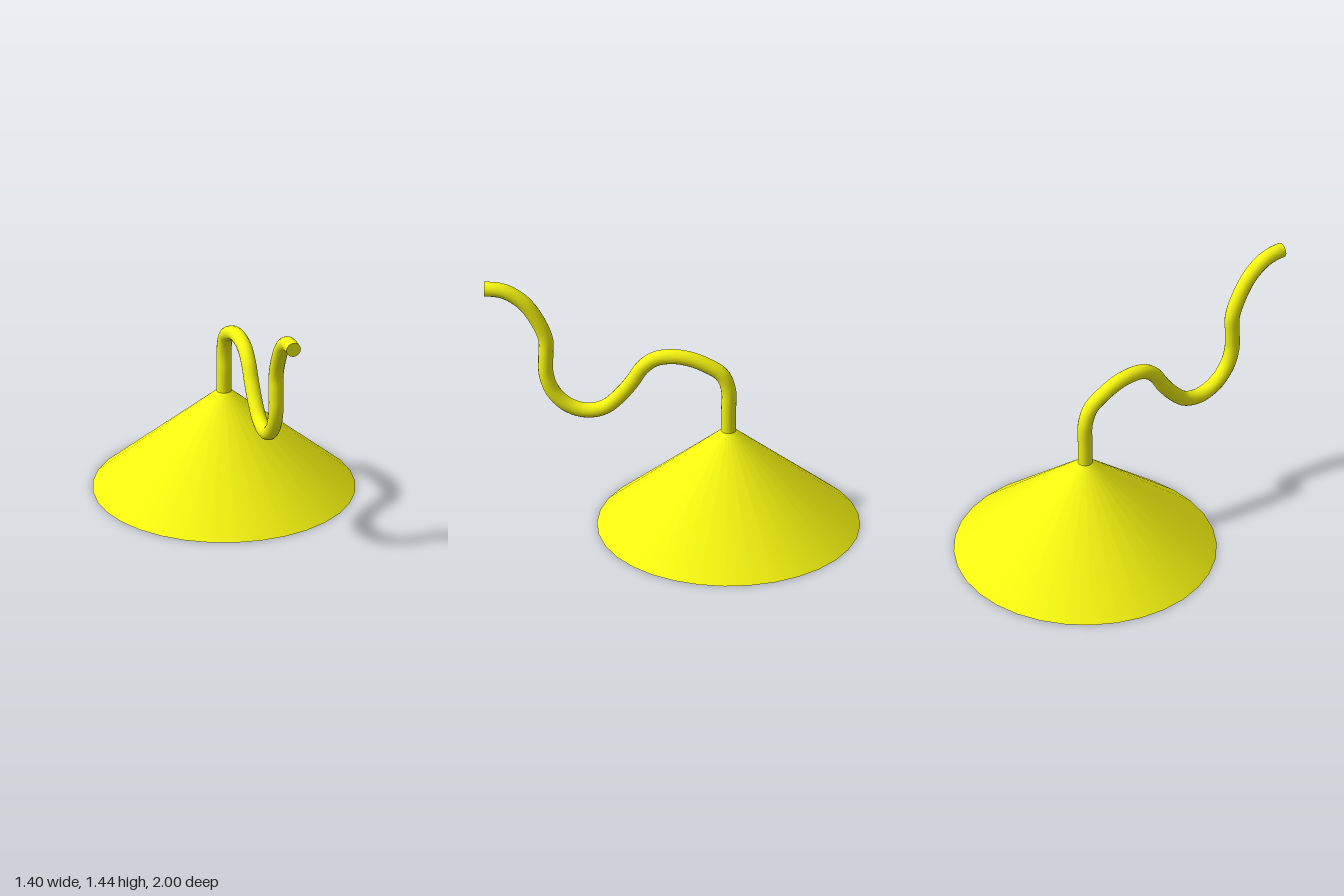
import * as THREE from 'three';

export function createModel() {
  const group = new THREE.Group();
  const yellow = new THREE.MeshStandardMaterial({ color: 0xf5f510, side: THREE.DoubleSide });
  const add = (name, geometry) => {
    const mesh = new THREE.Mesh(geometry, yellow);
    mesh.name = name;
    group.add(mesh);
    return mesh;
  };

  // Open conical shade
  const shade = add('shade', new THREE.ConeGeometry(0.7, 0.6, 32, 1, true));
  shade.position.set(0, 0.3, -0.3);

  // Curved arm, as (z, y) points from the shade to the wall end
  const points = [
    [-0.3, 0.56], [-0.3, 0.68], [-0.3, 0.81], [-0.265, 0.9], [-0.18, 0.957],
    [-0.09, 0.993], [0, 1.005], [0.09, 0.99], [0.16, 0.935], [0.21, 0.855],
    [0.28, 0.765], [0.36, 0.695], [0.46, 0.675], [0.56, 0.71], [0.635, 0.79],
    [0.67, 0.89], [0.672, 1.0], [0.673, 1.1], [0.72, 1.215], [0.79, 1.315],
    [0.88, 1.378], [0.95, 1.395], [1, 1.395],
  ].map(([z, y]) => new THREE.Vector3(0, y, z));
  const path = new THREE.CatmullRomCurve3(points);
  const radius = 0.04;
  add('arm', new THREE.TubeGeometry(path, 88, radius, 16, false));

  // Flat caps closing both arm ends
  const endCap = add('armEndCap', new THREE.CircleGeometry(radius, 16));
  endCap.position.copy(points[points.length - 1]);
  const baseCap = add('armBaseCap', new THREE.CircleGeometry(radius, 16));
  baseCap.position.copy(points[0]);
  baseCap.rotation.x = Math.PI / 2;

  return group;
}
